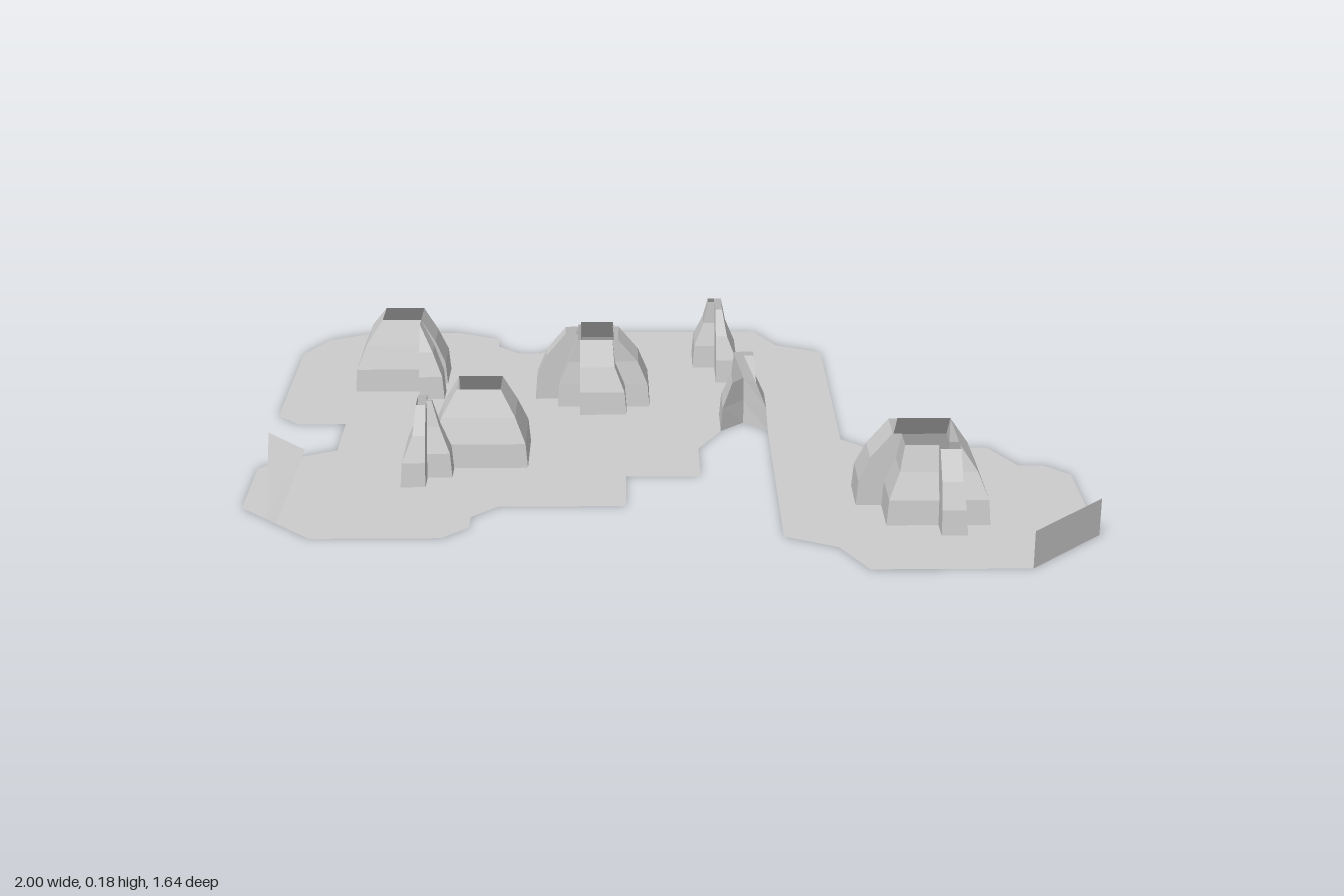
import * as THREE from 'three';

const U = 2 / 33; // grid step
const X = (i) => (i - 16.5) * U;
const Z = (j) => (j - 13.5) * U;
const clamp = THREE.MathUtils.clamp;
const flatPoint = ([i, j]) => new THREE.Vector2(X(i), -Z(j));

// Height and inset of each ring of a mound, in grid steps
const RINGS = [[0, 0], [1, 0.08], [2, 0.5], [3, 1.35]];

// Ground outline, clockwise from above, in grid steps
const GROUND = [
  [0, 3], [1, 1], [3, 0], [7, 0], [9, 1], [9, 2], [10, 3], [11, 3], [12, 2], [12, 1], [14, 0],
  [21, 0], [22, 2], [24, 3], [24, 14], [25, 15], [30, 15], [31, 17], [32, 17], [33, 18], [33, 24],
  [30, 27], [24, 27], [23, 25], [21, 24], [21, 11], [19, 11], [19, 13], [18, 15], [18, 18],
  [15, 18], [15, 21], [10, 21], [9, 22], [9, 23], [8, 24], [3, 24], [0, 21], [0, 17], [1, 16],
  [3, 15], [3, 12], [1, 12], [0, 11],
];

// Square-cornered footprint: steps alternate between x and z, clockwise from above
function footprint(i, j, ...steps) {
  const points = [[i, j]];
  steps.forEach((s, k) => {
    if (k % 2) j += s;
    else i += s;
    points.push([i, j]);
  });
  return points;
}

// Faceted surface from a list of quads, each corner as [x, y, z]
function quadGeometry(quads) {
  const pos = [];
  for (const [a, b, c, d] of quads) pos.push(...a, ...b, ...c, ...a, ...c, ...d);
  const geo = new THREE.BufferGeometry();
  geo.setAttribute('position', new THREE.Float32BufferAttribute(pos, 3));
  geo.computeVertexNormals();
  return geo;
}

// Open-topped shell whose rings lean in towards the core rectangle
function moundGeometry(foot, x0, x1, z0, z1) {
  const lean = (v, lo, hi, d) => v + clamp(clamp(v, lo, hi) - v, -d, d);
  const rings = RINGS.map(([h, d]) => foot.map(([i, j]) => [
    X(lean(i, x0, x1, d)), h * U, Z(lean(j, z0, z1, d)),
  ]));
  const quads = [];
  for (let r = 0; r < rings.length - 1; r++) {
    foot.forEach((_, k) => {
      const n = (k + 1) % foot.length;
      quads.push([rings[r][k], rings[r + 1][k], rings[r + 1][n], rings[r][n]]);
    });
  }
  return quadGeometry(quads);
}

export function createModel() {
  const group = new THREE.Group();
  const stone = new THREE.MeshStandardMaterial({ color: 0xcccccc, side: THREE.DoubleSide });
  stone.name = 'stone grey';
  const ground = new THREE.Shape(GROUND.map(flatPoint));

  const add = (name, geo) => {
    const mesh = new THREE.Mesh(geo, stone);
    mesh.name = name;
    group.add(mesh);
  };

  // Mound standing over an opening in the ground
  const addMound = (name, foot, ...core) => {
    add(name, moundGeometry(foot, ...core));
    ground.holes.push(new THREE.Path(foot.map(flatPoint)));
  };

  addMound('backLeftMound',
    footprint(3, 4, 3, 1, 1, 2, -0.9, 1, 0.9, 1, -1.1, -1, -2.9), 4.2, 5.9, 5.3, 7);
  addMound('centreMound',
    footprint(13, 6, 2, 2, 1, 2, -1, 1, -2, -1, -1, -1, -1, -1, 1, -1, 1), 12.9, 14.4, 7.7, 9.8);
  addMound('frontLeftMound', footprint(8, 13, 2, 1, 1, 3, -4, -3, 1), 8.1, 9.9, 14.3, 15.9);
  addMound('moundSpur',
    footprint(6, 16, 0.97, 1.03, 1.03, 0.97, -1, 1, -1), 6.6, 7.2, 16.5, 17.2);
  addMound('frontRightMound',
    footprint(25, 18, 3, 1, 1, 4, -1, 1, -1, -1, -2, -2, -1, -2, 1), 25.7, 27.8, 19.4, 22.2);
  addMound('thinRock', footprint(18, 3, 1, 1, 1, 3, -1, -2, -1), 18.7, 19.3, 4.1, 4.6);

  // Rock closing the head of the gap, with a notched front
  add('gapRock', moundGeometry([...footprint(19, 11, 2, 2), [20, 12], [19, 13]], 19.6, 20.4, 11.4, 11.9));

  add('ground', new THREE.ShapeGeometry(ground).rotateX(-Math.PI / 2));

  // Low upright wall on the front right corner
  const h = 1.5 * U;
  add('cornerWall', quadGeometry([[
    [X(30), 0, Z(27)], [X(33), 0, Z(24)], [X(33), h, Z(24)], [X(30), h, Z(27)],
  ]]));

  // Leaning shard on the front left corner
  add('leaningShard', quadGeometry([[
    [-0.93, 0, 0.525], [-0.905, 0, 0.55], [-0.83, 3 * U, 0.54], [-0.93, 3 * U, 0.43],
  ]]));

  return group;
}
